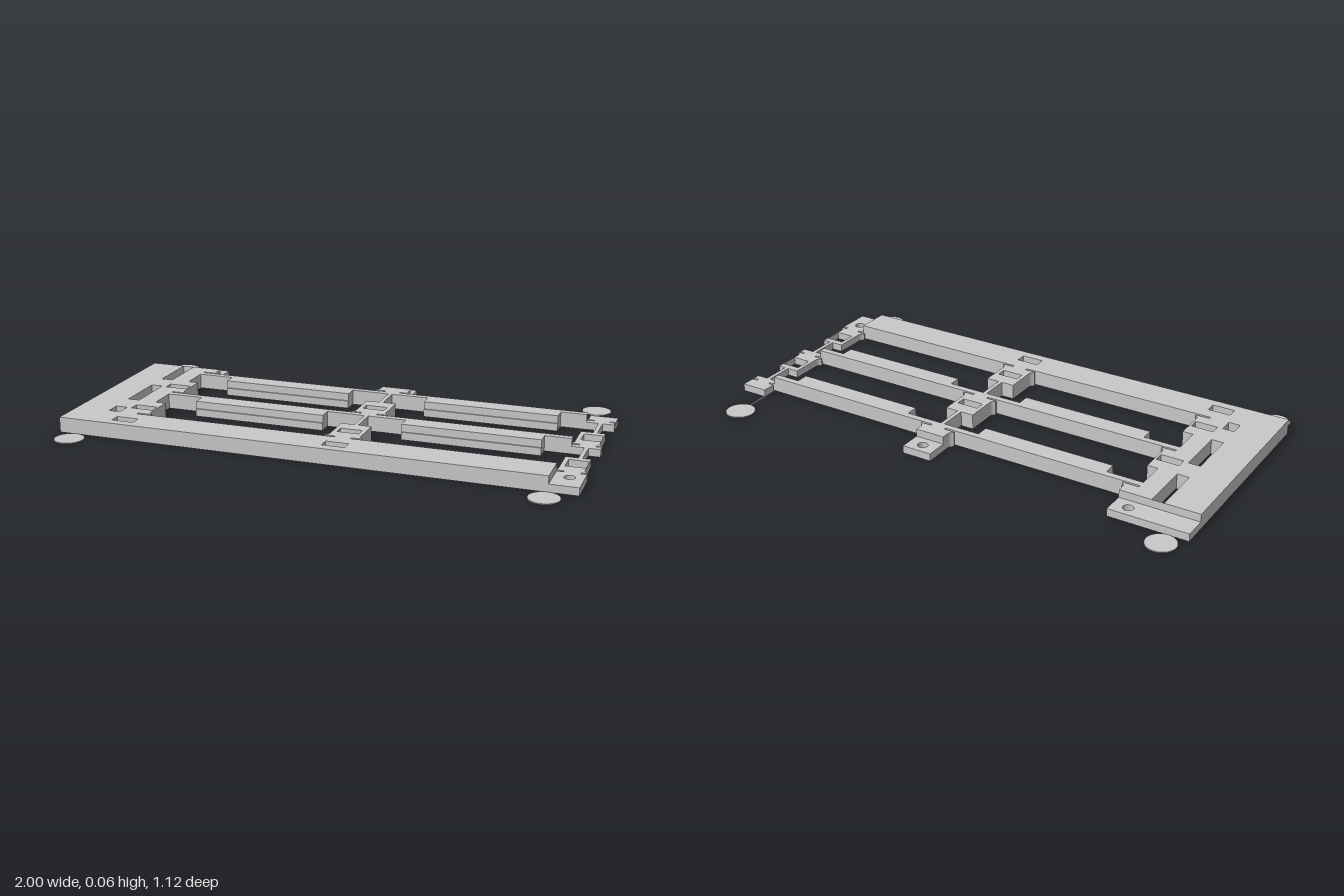
import * as THREE from 'three';

const FULL = 0.06, HALF = 0.03;
const STEP_X = 0.893;            // right of here everything is half height
const RAILS = [-0.294, 0.004];   // back edge of each cross rail
const BAR = 0.303;               // back edge of the front bar

export function createModel() {
  const model = new THREE.Group();
  const grey = new THREE.MeshStandardMaterial({ color: 0xc8c8c8 });
  grey.name = 'plain grey';

  const add = (name, geometry) => {
    const mesh = new THREE.Mesh(geometry, grey);
    mesh.name = name;
    model.add(mesh);
    return mesh;
  };

  // Outlines are given in plan as [x, z], all turning the same way
  const rect = (x0, x1, z0, z1) => [[x0, z0], [x1, z0], [x1, z1], [x0, z1]];
  const circle = (x, z, r) => Array.from({ length: 24 }, (_, i) => {
    const a = i / 24 * Math.PI * 2;
    return [x + r * Math.cos(a), z + r * Math.sin(a)];
  });
  const toPoints = (pts) => pts.map(([x, z]) => new THREE.Vector2(x, -z));

  // Flat slab of a given height; holes turn the opposite way so their walls face inwards
  function slab(name, outline, height, holes = []) {
    const shape = new THREE.Shape(toPoints(outline));
    holes.forEach((h) => shape.holes.push(new THREE.Path(toPoints(h).reverse())));
    const g = new THREE.ExtrudeGeometry(shape, { depth: height, bevelEnabled: false });
    g.rotateX(-Math.PI / 2);
    return add(name, g);
  }

  // Hollow curve that flares a tab's side outwards towards its front end
  const flare = (x, z1, side) => Array.from({ length: 6 }, (_, i) => {
    const t = i / 5;
    return [x + side * 0.014 * t * t, z1 - 0.024 + 0.02 * t];
  }).concat([[x + side * 0.014, z1]]);
  const tabOutline = (x0, x1, z0, z1) => [
    [x0, z0], [x1, z0], ...flare(x1, z1, 1), ...flare(x0, z1, -1).reverse(),
  ];

  // Left frame: column with tabs, slots and windows
  const edge = [[-0.69, -0.357], ...flare(-0.69, -0.303, 1), [-0.74, -0.303]];
  for (const z of [-0.153, 0.145]) {
    edge.push([-0.74, z], [-0.698, z], ...flare(-0.698, z + 0.148, 1), [-0.74, z + 0.148]);
  }
  slab('leftFrame', [[-1, -0.357], ...edge, [-0.74, BAR], [-1, BAR]], FULL, [
    rect(-0.862, -0.815, -0.356, -0.153),
    rect(-0.862, -0.815, -0.06, 0.143),
    rect(-0.862, -0.815, 0.243, 0.301),
    rect(-0.795, -0.706, -0.096, -0.056),
    rect(-0.795, -0.706, 0.202, 0.243),
  ]);
  slab('leftBackLedge', rect(-1, -0.69, -0.445, -0.357), HALF, [circle(-0.75, -0.402, 0.02)]);

  // Front bar with its lower right end
  slab('frontBar', rect(-1, STEP_X, BAR, 0.44), FULL, [
    rect(-0.795, -0.706, 0.358, 0.402),
    rect(0.055, 0.144, 0.358, 0.402),
  ]);
  slab('frontBarEnd', rect(STEP_X, 1, BAR, 0.44), HALF, [circle(0.948, 0.352, 0.02)]);

  // Two cross rails, each with two widened stretches that have a narrow lip along the front
  for (const z of RAILS) {
    slab('rail', rect(-0.74, STEP_X, z, z + 0.026), FULL);
    slab('railEnd', rect(STEP_X, 1, z, z + 0.026), HALF);
    for (const x of [-0.595, 0.257]) {
      slab('railPad', rect(x, x + 0.535, z + 0.026, z + 0.077), FULL);
      slab('railPadLip', rect(x, x + 0.535, z + 0.077, z + 0.083), HALF);
    }
  }

  // Back tabs of the middle and right columns
  slab('middleBackTab', tabOutline(0.038, 0.158, -0.357, -0.303), FULL);
  slab('middleBackLedge', rect(0.038, 0.158, -0.445, -0.357), HALF, [circle(0.099, -0.402, 0.02)]);
  slab('rightBackTab', rect(STEP_X, 1, -0.357, -0.303), HALF);

  // Connector columns: stem, windowed tab and neck in each bay
  const columns = [
    { name: 'middle', x: 0.099, x0: 0.039, x1: 0.159, half: 0.043, top: FULL, win: 0.057 },
    { name: 'right', x: 0.947, x0: 0.893, x1: 0.993, half: 0.037, top: HALF, win: 0.027 },
  ];
  for (const { name, x, x0, x1, half, top, win } of columns) {
    const neck = (z0, z1) => slab(name + 'Neck', rect(x - 0.03, x + 0.03, z0, z1), top);
    neck(-0.303, RAILS[0]);
    RAILS.forEach((z, i) => {
      const t = z + 0.141, end = t + 0.148;
      slab(name + 'Stem', rect(x - 0.008, x + 0.008, z + 0.026, t), top);
      slab(name + 'Tab', tabOutline(x0, Math.min(x1, 0.986), t, end), top,
        [rect(x - half, x + half, t + win, t + 0.097)]);
      neck(end, RAILS[i + 1] ?? BAR);
    });
  }

  // Thin corner discs, and the strip joining one of them
  for (const x of [-0.925, 0.892]) {
    for (const z of [-0.505, 0.503]) {
      add('cornerDisc', new THREE.CylinderGeometry(0.057, 0.057, 0.004, 40)).position.set(x, 0.002, z);
    }
  }
  slab('discStrip', rect(0.889, 0.895, -0.46, -0.357), 0.004);

  return model;
}
